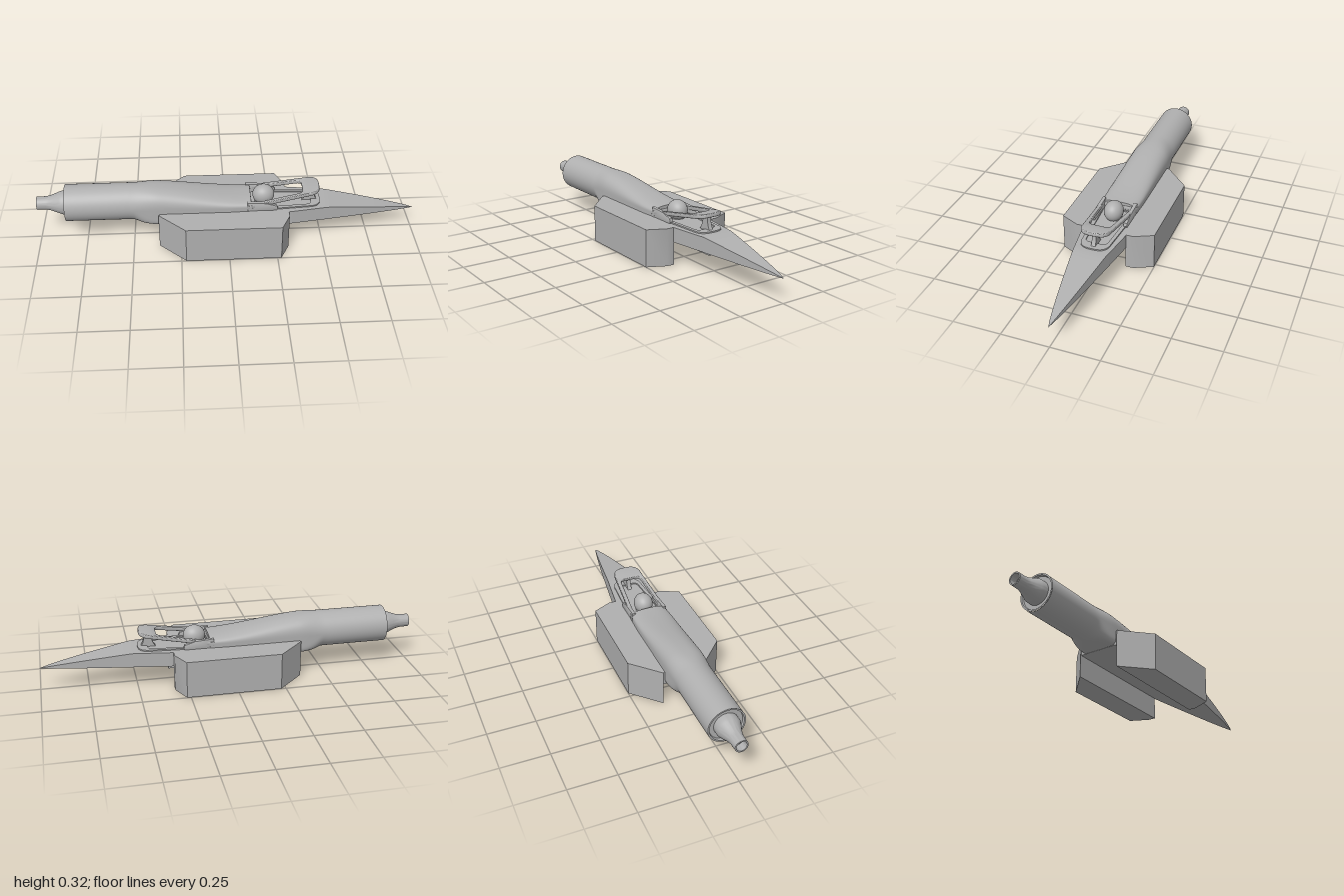
import * as THREE from 'three';
import { toCreasedNormals } from 'three/addons/utils/BufferGeometryUtils.js';

const BASE = 0.12, DECK = 0.197, AXIS = 0.218;
const { lerp, smoothstep } = THREE.MathUtils;

export function createModel() {
  const model = new THREE.Group();
  model.name = 'racer';
  const grey = new THREE.MeshStandardMaterial({ color: 0xb0b0b0 });
  grey.name = 'light grey';

  const add = (name, geometry) => {
    const mesh = new THREE.Mesh(geometry, grey);
    mesh.name = name;
    model.add(mesh);
    return mesh;
  };
  const points = (list) => list.map(([x, y]) => new THREE.Vector2(x, y));

  // Plan outline (x, z) raised from y = 0 to the given height
  const plan = (shape, depth, bevel = 0) => {
    const g = new THREE.ExtrudeGeometry(shape, {
      depth, curveSegments: 16, bevelEnabled: bevel > 0,
      bevelSize: bevel, bevelThickness: bevel, bevelOffset: -bevel, bevelSegments: 3,
    });
    g.rotateX(-Math.PI / 2);
    return toCreasedNormals(g, 0.7);
  };

  // Hull: a slab whose plan and top taper to a pointed nose
  const hull = new THREE.BoxGeometry(1.36, 1, 2, 48, 1, 2);
  hull.translate(0.32, 0.5, 0);
  const p = hull.attributes.position;
  for (let i = 0; i < p.count; i++) {
    const t = Math.max(0, (p.getX(i) - 0.32) / 0.68);
    const w = 0.115 * Math.pow(Math.max(0, 1 - t), 0.85);
    const top = Math.min(DECK, BASE + 0.077 * w / 0.085);
    p.setY(i, lerp(BASE, top, p.getY(i)));
    p.setZ(i, p.getZ(i) * w);
  }
  hull.computeVertexNormals();
  add('hull', hull);

  // Side pods
  for (const s of [1, -1]) {
    const outline = [[-0.365, 0.112], [0.316, 0.112], [0.316, 0.153], [0.27, 0.249], [-0.225, 0.249]];
    const shape = new THREE.Shape(points(outline.map(([x, z]) => [x, -s * z])));
    add(s > 0 ? 'leftPod' : 'rightPod', plan(shape, DECK));
  }

  // Fuselage: round at the tail, squared below and sinking towards the cockpit
  const N = 64, M = 48;
  const section = (x) => {
    const square = smoothstep(x, -0.5, -0.36);
    const top = lerp(0.315, 0.248, smoothstep(x, -0.45, 0.15));
    const w = lerp(0.097, 0.103, square) - 0.004 * smoothstep(x, 0, 0.12);
    const ring = [];
    for (let j = 0; j < N; j++) {
      const a = j / N * Math.PI * 2, c = Math.cos(a), s = Math.sin(a);
      const n = s >= 0 ? lerp(2, 2.5, square) : lerp(2, 8, square);
      const h = s >= 0 ? top - AXIS : AXIS - 0.121;
      const z = Math.sign(c) * Math.pow(Math.abs(c), 2 / n) * w;
      const y = AXIS + Math.sign(s) * Math.pow(Math.abs(s), 2 / n) * h;
      ring.push([z, y]);
    }
    return ring;
  };
  const verts = [], index = [];
  for (let i = 0; i <= M; i++) {
    const x = i === 0 ? -0.85 : lerp(-0.52, 0.12, (i - 1) / (M - 1));
    for (const [z, y] of section(x)) verts.push(x, y, z);
    if (i === M) break;
    for (let j = 0; j < N; j++) {
      const a = i * N + j, d = i * N + (j + 1) % N;
      index.push(a, a + N, d + N, a, d + N, d);
    }
  }
  const body = new THREE.BufferGeometry();
  body.setAttribute('position', new THREE.Float32BufferAttribute(verts, 3));
  body.setIndex(index);
  body.computeVertexNormals();
  add('fuselage', body);

  // Wall behind the pilot
  const wall = new THREE.ShapeGeometry(new THREE.Shape(points(section(0.12).map(([z, y]) => [-z, y]))));
  wall.rotateY(Math.PI / 2);
  wall.translate(0.12, 0, 0);
  add('cockpitBulkhead', wall);

  // Tail ring and exhaust nozzle
  const nozzle = new THREE.LatheGeometry(points([
    [0.097, 0.85], [0.089, 0.85], [0.086, 0.838], [0.063, 0.838], [0.063, 0.865], [0.058, 0.88],
    [0.048, 0.905], [0.039, 0.93], [0.035, 0.95], [0.034, 1], [0.027, 1], [0.026, 0.96], [0, 0.96],
  ]), 48);
  nozzle.rotateZ(Math.PI / 2);
  nozzle.translate(0, AXIS + 0.002, 0);
  add('exhaustNozzle', toCreasedNormals(nozzle, 0.6));

  // Cockpit surround: a rounded outline with a rounded opening
  const loop = (shape, back, wBack, front, wFront, r) => {
    shape.moveTo(back, -wBack);
    shape.lineTo(front - r, -wFront);
    shape.quadraticCurveTo(front, -wFront, front, -wFront + r);
    shape.lineTo(front, wFront - r);
    shape.quadraticCurveTo(front, wFront, front - r, wFront);
    shape.lineTo(back, wBack);
    shape.closePath();
    return shape;
  };
  const surround = (hole) => {
    const s = loop(new THREE.Shape(), 0.1, 0.1, 0.49, 0.076, 0.065);
    s.holes.push(loop(new THREE.Path(), 0.125, 0.078, hole, 0.058, 0.03));
    return s;
  };
  add('cockpitRim', plan(surround(0.44), 0.007)).position.y = DECK;

  // Raised windscreen loop, tilted up towards the front
  const screen = plan(surround(0.4), 0.012, 0.004);
  screen.translate(-0.1, 0, 0);
  screen.rotateZ(0.17);
  screen.translate(0.1, 0.212, 0);
  add('windscreenLoop', screen);

  // Cockpit side walls fading into the deck
  for (const s of [1, -1]) {
    const side = new THREE.Shape(points([[0.1, 0.19], [0.25, 0.19], [0.26, 0.205], [0.255, 0.222], [0.2, 0.24], [0.1, 0.247]]));
    const g = new THREE.ExtrudeGeometry(side, { depth: 0.012, bevelSize: 0.003, bevelThickness: 0.004, bevelOffset: -0.003, bevelSegments: 2 });
    g.translate(0, 0, s * 0.087 - 0.006);
    add(s > 0 ? 'leftCockpitWall' : 'rightCockpitWall', toCreasedNormals(g, 0.7));
  }

  // Flared post under the windscreen loop
  const post = new THREE.Shape();
  post.moveTo(0.39, DECK - 0.005);
  post.lineTo(0.48, DECK - 0.005);
  post.quadraticCurveTo(0.455, 0.215, 0.452, 0.272);
  post.lineTo(0.42, 0.268);
  post.quadraticCurveTo(0.415, 0.215, 0.39, DECK - 0.005);
  const postGeometry = new THREE.ExtrudeGeometry(post, { depth: 0.022, bevelEnabled: false });
  postGeometry.translate(0, 0, -0.011);
  add('windscreenPost', toCreasedNormals(postGeometry, 0.6));

  // Pilot's head and shoulders
  const head = add('pilotHelmet', new THREE.SphereGeometry(1, 32, 24));
  head.scale.set(0.058, 0.054, 0.05);
  head.position.set(0.19, 0.237, 0);
  const neck = add('pilotNeck', new THREE.CylinderGeometry(0.036, 0.045, 0.04, 24));
  neck.position.set(0.185, 0.205, 0);

  return model;
}
